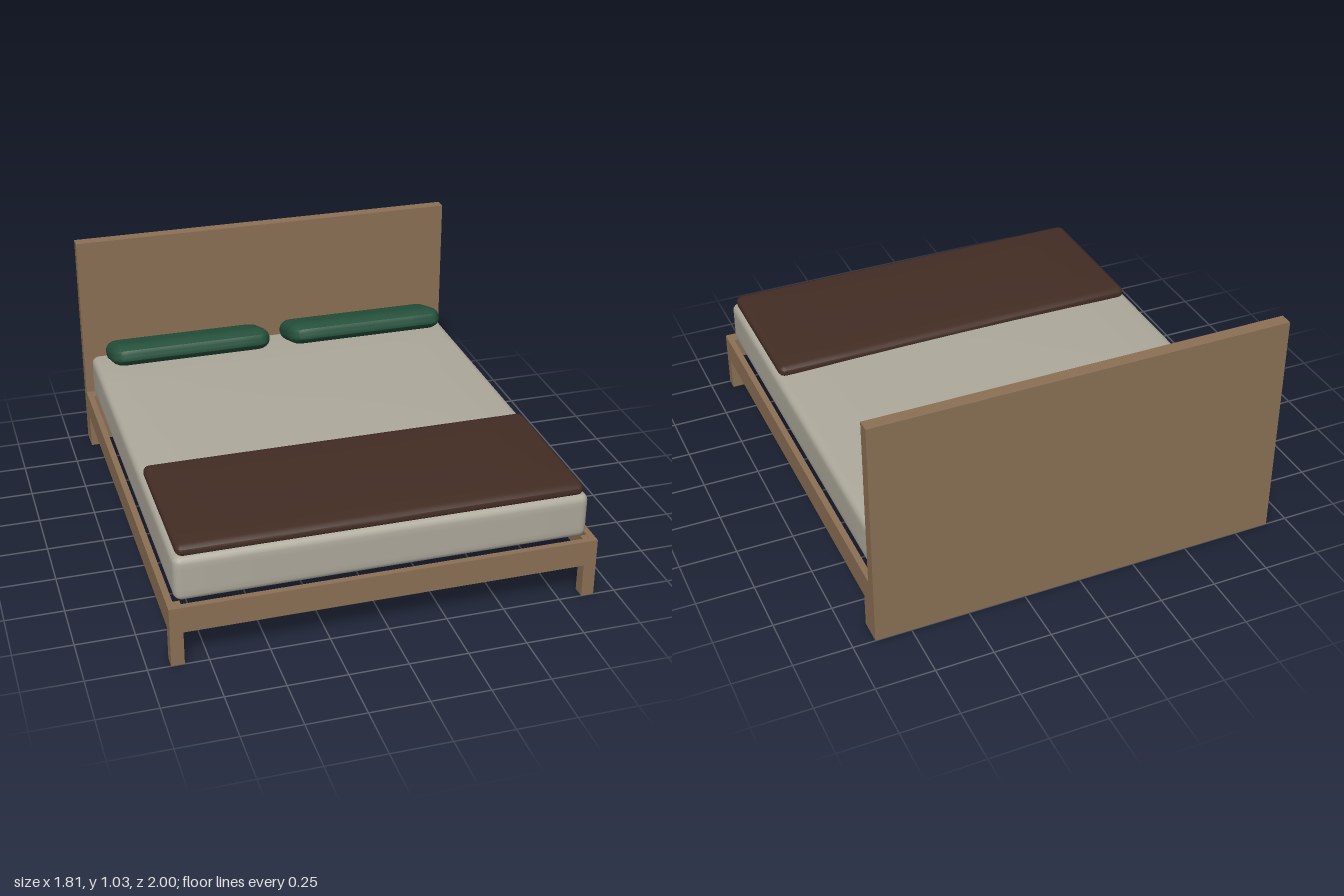
import * as THREE from 'three';
import { toCreasedNormals } from 'three/addons/utils/BufferGeometryUtils.js';

const wood = new THREE.MeshStandardMaterial({ color: 0x8b7054 });
wood.name = 'wood';
const linen = new THREE.MeshStandardMaterial({ color: 0xaea99c });
linen.name = 'linen';
const green = new THREE.MeshStandardMaterial({ color: 0x26523d });
green.name = 'greenFabric';
const brown = new THREE.MeshStandardMaterial({ color: 0x432d24 });
brown.name = 'darkBrownFabric';

// Box given by its limits on each axis
function slab(name, x0, x1, y0, y1, z0, z1) {
  const mesh = new THREE.Mesh(new THREE.BoxGeometry(x1 - x0, y1 - y0, z1 - z0), wood);
  mesh.name = name;
  mesh.position.set((x0 + x1) / 2, (y0 + y1) / 2, (z0 + z1) / 2);
  return mesh;
}

// Cushion: half sizes, elliptical edge radii per axis, and a raised middle on top
function cushion(name, material, half, radius, crown) {
  const k = 2, n = 2 * k + 6;
  const geo = new THREE.BoxGeometry(2, 2, 2, n, n, n);
  const p = geo.attributes.position;
  const inner = new THREE.Vector3(), dir = new THREE.Vector3();
  for (let v = 0; v < p.count; v++) {
    for (let a = 0; a < 3; a++) {
      const i = Math.round((p.getComponent(v, a) + 1) / 2 * n);
      const over = i < k ? i - k : Math.max(0, i - (n - k));
      dir.setComponent(a, Math.tan(over / k * Math.PI / 4));
      const t = (Math.min(Math.max(i, k), n - k) - k) / (n - 2 * k) * 2 - 1;
      inner.setComponent(a, t * (half[a] - radius[a]));
    }
    dir.normalize();
    const q = [0, 1, 2].map(a => inner.getComponent(a) + dir.getComponent(a) * radius[a]);
    if (q[1] > 0) q[1] += crown * (1 - (q[0] / half[0]) ** 2) * (1 - (q[2] / half[2]) ** 2);
    p.setXYZ(v, ...q);
  }
  const mesh = new THREE.Mesh(toCreasedNormals(geo, 0.5), material);
  mesh.name = name;
  return mesh;
}

export function createModel() {
  const bed = new THREE.Group();
  bed.name = 'bed';

  // Wooden frame
  bed.add(slab('headboard', -0.905, 0.905, 0, 1.035, -1, -0.945));
  bed.add(slab('frontRail', -0.905, 0.905, 0.15, 0.265, 0.972, 1));
  for (const [side, s] of [['left', 1], ['right', -1]]) {
    const xs = (a, b) => [Math.min(s * a, s * b), Math.max(s * a, s * b)];
    bed.add(slab(side + 'Rail', ...xs(0.878, 0.905), 0.15, 0.265, -0.945, 0.972));
    bed.add(slab(side + 'FrontLeg', ...xs(0.85, 0.905), 0, 0.264, 0.945, 1));
    bed.add(slab(side + 'BackLeg', ...xs(0.85, 0.905), 0, 0.264, -0.945, -0.89));
  }

  // Mattress with a slightly domed top
  const mattress = cushion('mattress', linen, [0.872, 0.1, 0.95], [0.035, 0.03, 0.035], 0.015);
  mattress.position.set(0, 0.365, 0.015);
  bed.add(mattress);

  // Folded blanket across the foot end
  const blanket = cushion('blanket', brown, [0.856, 0.027, 0.345], [0.03, 0.024, 0.04], 0.008);
  blanket.position.set(0, 0.481, 0.605);
  bed.add(blanket);

  // Pillows leaning back towards the headboard
  for (const [name, x] of [['leftPillow', 0.42], ['rightPillow', -0.435]]) {
    const pillow = cushion(name, green, [0.381, 0.052, 0.158], [0.06, 0.045, 0.09], 0);
    pillow.position.set(x, 0.546, -0.75);
    pillow.rotation.x = -0.31;
    bed.add(pillow);
  }
  return bed;
}
